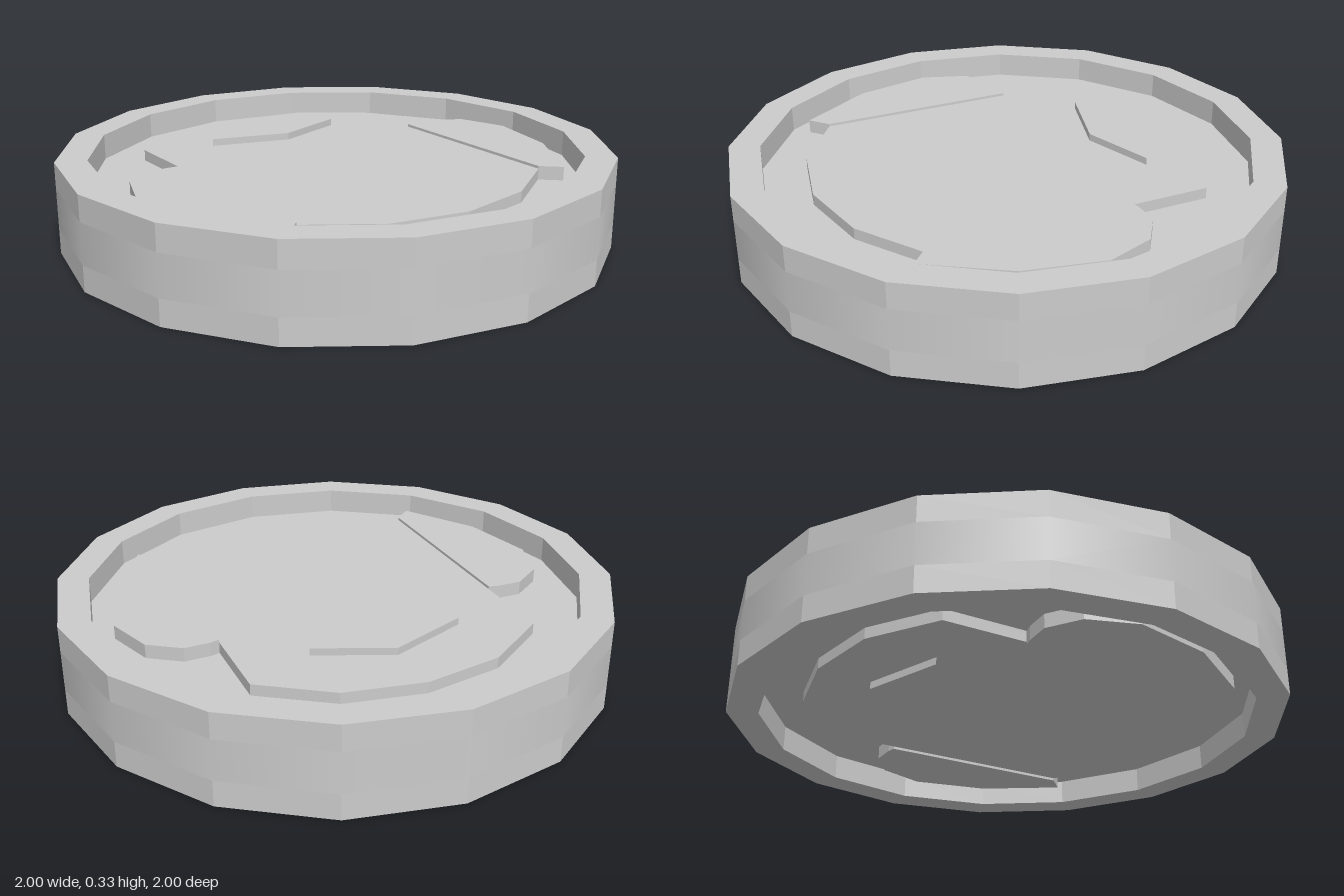
import * as THREE from 'three';

const HEIGHT = 0.333;
const FLOOR = 0.24; // recessed face of the upper side
const SIDES = 16;

const flatMat = new THREE.MeshStandardMaterial({ color: 0xcccccc, flatShading: true });
const smoothMat = new THREE.MeshStandardMaterial({ color: 0xcccccc });

// Plate with an [x, z] outline, standing between two heights
function plate(name, outline, y0, y1) {
  const shape = new THREE.Shape(outline.map(([x, z]) => new THREE.Vector2(x, -z)));
  const geo = new THREE.ExtrudeGeometry(shape, { depth: y1 - y0, bevelEnabled: false });
  geo.rotateX(-Math.PI / 2).translate(0, y0, 0);
  const mesh = new THREE.Mesh(geo, flatMat);
  mesh.name = name;
  return mesh;
}

const mirrorX = (pts) => pts.map(([x, z]) => [-x, z]);

// Outlines of the raised relief
const rightHalf = [[0, -0.73], [0.28, -0.68], [0.515, -0.52], [0.515, 0.515], [0.28, 0.67], [0, 0.725]];
const center = [...rightHalf, ...mirrorX(rightHalf.slice(1, -1)).reverse()];
const wing = [[0.515, -0.22], [0.55, -0.228], [0.64, -0.23], [0.75, -0.155], [0.81, 0.02],
  [0.75, 0.305], [0.58, 0.575], [0.515, 0.515]];
const diamond = [[-0.275, -0.423], [0.01, -0.535], [0.275, -0.423], [0.01, -0.335]];

// One face of the disc: rim, recessed floor and relief
function createFace(name, isTop) {
  const face = new THREE.Group();
  face.name = name;
  const level = (y) => (isTop ? y : HEIGHT - y);

  const profile = [[1, FLOOR], [1, HEIGHT], [0.887, HEIGHT], [0.887, FLOOR], [0, FLOOR]]
    .map(([r, y]) => new THREE.Vector2(r, level(y)));
  if (!isTop) profile.reverse();
  const rim = new THREE.Mesh(new THREE.LatheGeometry(profile, SIDES), flatMat);
  rim.name = 'rimAndFloor';
  face.add(rim);

  const relief = (part, outline, from, to) => {
    const a = level(from), b = level(to);
    face.add(plate(part, outline, Math.min(a, b), Math.max(a, b)));
  };
  relief('centerPanel', center, FLOOR, 0.28);
  relief('leftWing', wing, FLOOR, 0.29);
  relief('rightWing', mirrorX(wing), FLOOR, 0.29);
  relief('diamond', diamond, 0.28, 0.306);
  return face;
}

export function createModel() {
  const model = new THREE.Group();
  model.name = 'disc';

  // Smooth band around the middle of the edge
  const bandHeight = 2 * FLOOR - HEIGHT;
  const band = new THREE.Mesh(
    new THREE.CylinderGeometry(1, 1, bandHeight, SIDES, 1, true), smoothMat);
  band.position.y = HEIGHT / 2;
  band.name = 'edgeBand';

  model.add(band, createFace('topFace', true), createFace('bottomFace', false));
  return model;
}
